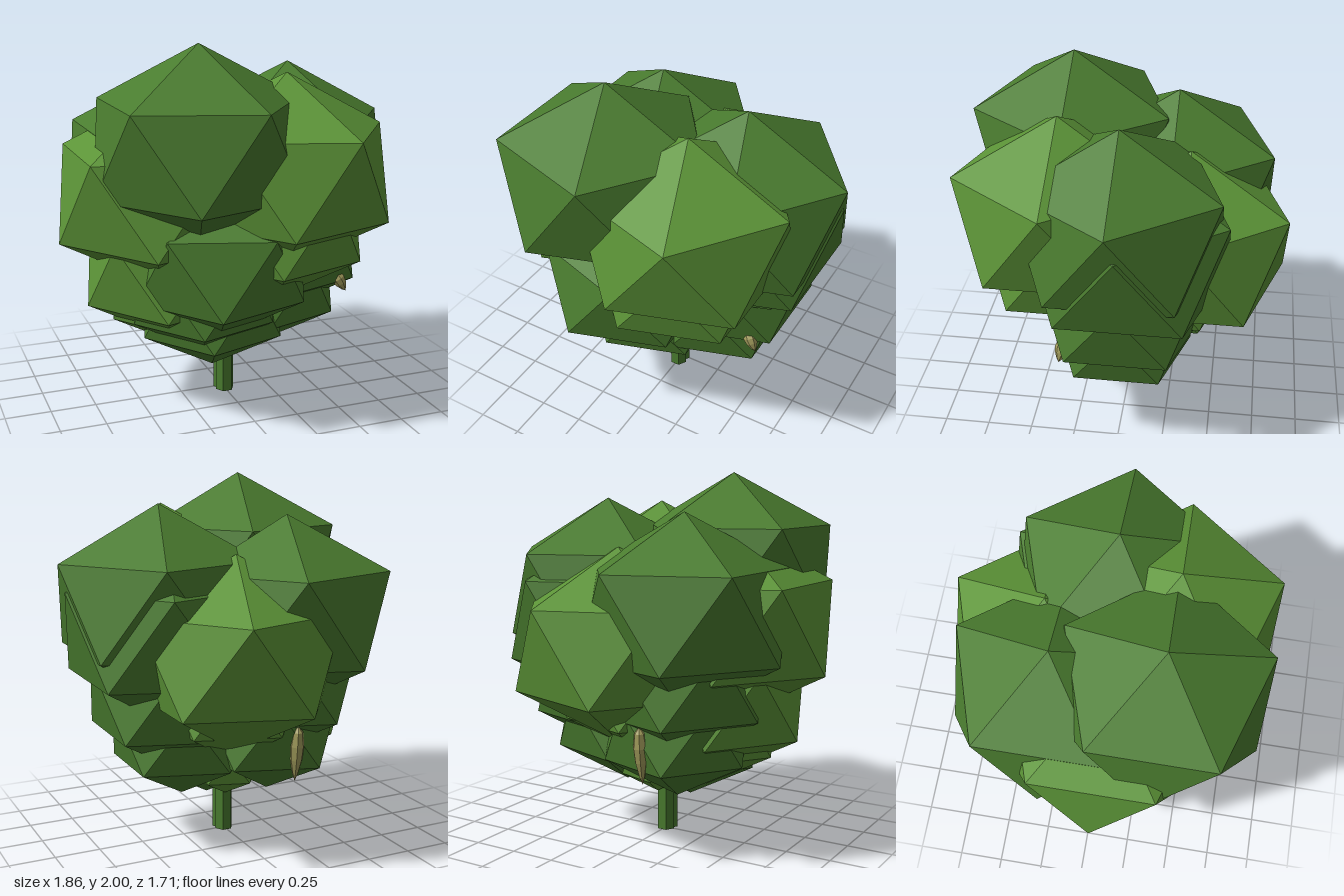
import * as THREE from 'three';

const mat = (name, color) => {
  const m = new THREE.MeshStandardMaterial({ color, flatShading: true });
  m.name = name;
  return m;
};

export function createModel() {
  const group = new THREE.Group();
  const leaf = mat('leaf green', 0x4a7c2f);
  const light = mat('light leaf green', 0x5c9437);
  const pale = mat('pale straw', 0xa29c5c);

  // Twenty-sided leaf clump, one corner straight up and one upper corner toward +x
  const clumpGeo = new THREE.IcosahedronGeometry(1, 0);
  clumpGeo.rotateZ(-Math.atan(2 / (1 + Math.sqrt(5))));
  clumpGeo.scale(0.615, 0.525, 0.615);

  const addClumps = (name, size, list) => list.forEach(([x, y, z, m]) => {
    const clump = new THREE.Mesh(clumpGeo, m);
    clump.name = name;
    clump.position.set(x, y, z);
    clump.scale.setScalar(size);
    group.add(clump);
  });

  // Crown: large outer clumps
  addClumps('upperClump', 1, [
    [-0.245, 1.475, 0.322, leaf],
    [0.23, 1.315, 0.333, light],
    [0.38, 1.335, 0, leaf],
    [0.09, 1.09, -0.335, light],
    [-0.255, 1.275, -0.243, leaf],
    [-0.375, 1.195, 0.05, light],
    [0.36, 1.195, -0.04, leaf],
  ]);

  // Middle tier
  addClumps('middleClump', 0.83, [
    [-0.13, 0.87, 0.31, leaf],
    [0.19, 1.055, 0.31, light],
    [0.32, 0.85, -0.01, leaf],
    [0.32, 1.1, 0, leaf],
    [0.08, 1.0, -0.29, light],
    [-0.21, 0.93, -0.2, leaf],
    [-0.325, 0.795, 0.04, light],
  ]);

  // Lower tier
  addClumps('lowerClump', 0.71, [
    [0.26, 0.625, 0, leaf],
    [-0.1, 0.565, 0.105, leaf],
    [-0.18, 0.685, 0.185, leaf],
    [-0.18, 0.645, -0.18, leaf],
    [-0.25, 0.665, 0.02, light],
    [0.1, 0.925, 0.2, light],
    [0.06, 0.85, -0.2, light],
  ]);

  // Small clumps around the trunk top
  addClumps('baseClump', 0.36, [
    [0.09, 0.41, 0.04, leaf],
    [0.02, 0.42, -0.06, light],
  ]);

  // Trunk: two merged six-sided stems
  [0.04, 0].forEach((z) => {
    const trunk = new THREE.Mesh(new THREE.CylinderGeometry(0.052, 0.052, 0.5, 6), leaf);
    trunk.name = 'trunk';
    trunk.rotation.y = Math.PI / 2;
    trunk.position.set(0, 0.25, z);
    group.add(trunk);
  });

  // Hanging pods: tapered at both ends
  const podGeo = new THREE.LatheGeometry([
    [0, -0.5], [0.4, -0.36], [0.85, -0.1], [1, 0.15], [0.7, 0.4], [0, 0.5],
  ].map(([x, y]) => new THREE.Vector2(x, y)), 7);
  const addPod = (pos, radius, length, tiltX, tiltZ) => {
    const pod = new THREE.Mesh(podGeo, pale);
    pod.name = 'pod';
    pod.position.set(...pos);
    pod.scale.set(radius, length, radius);
    pod.rotation.set(tiltX, 0, tiltZ);
    group.add(pod);
  };
  addPod([-0.17, 0.57, -0.53], 0.04, 0.31, -0.1, 0);
  addPod([0.595, 0.655, 0.285], 0.037, 0.13, -0.2, 0.5);

  return group;
}
